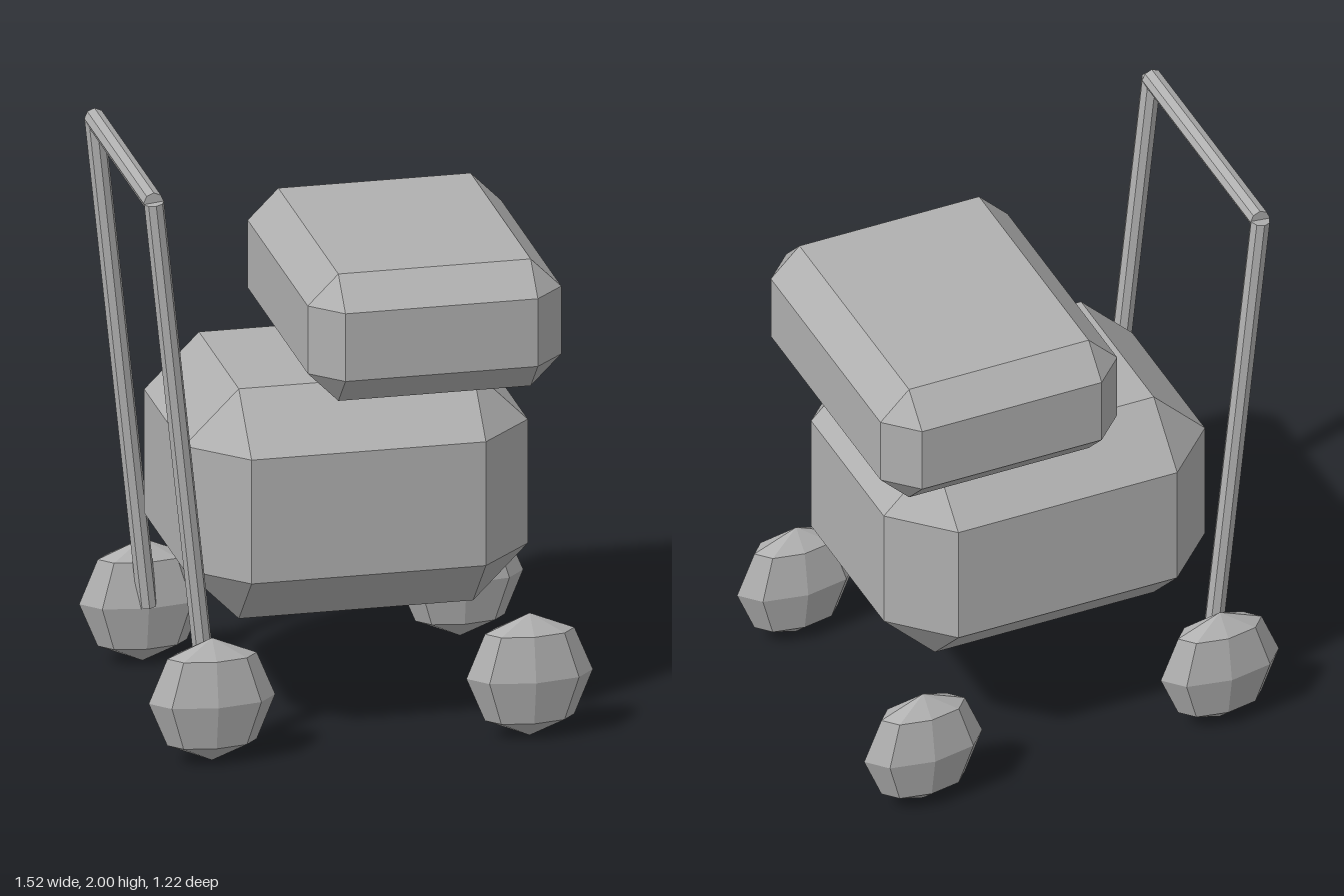
import * as THREE from 'three';
import { ConvexGeometry } from 'three/addons/geometries/ConvexGeometry.js';

// Box with flat bevels and triangular corners
function chamferedBox(w, h, d, c) {
  const points = [];
  for (const sx of [-1, 1]) for (const sy of [-1, 1]) for (const sz of [-1, 1]) {
    const x = w / 2, y = h / 2, z = d / 2;
    points.push(
      new THREE.Vector3(sx * x, sy * (y - c), sz * (z - c)),
      new THREE.Vector3(sx * (x - c), sy * y, sz * (z - c)),
      new THREE.Vector3(sx * (x - c), sy * (y - c), sz * z)
    );
  }
  return new ConvexGeometry(points);
}

export function createModel() {
  const group = new THREE.Group();
  const grey = new THREE.MeshStandardMaterial({ color: 0xb0b0b0, flatShading: true });
  grey.name = 'grey';

  function add(name, geometry, x = 0, y = 0, z = 0) {
    const mesh = new THREE.Mesh(geometry, grey);
    mesh.name = name;
    mesh.position.set(x, y, z);
    group.add(mesh);
    return mesh;
  }

  // Straight round bar between two points
  function rod(name, from, to, radius) {
    const axis = to.clone().sub(from);
    const mesh = add(name, new THREE.CylinderGeometry(radius, radius, axis.length(), 8));
    mesh.position.copy(from).add(to).multiplyScalar(0.5);
    mesh.quaternion.setFromUnitVectors(new THREE.Vector3(0, 1, 0), axis.normalize());
  }

  // Main body and the block resting on it
  add('body', chamferedBox(1.18, 0.815, 0.96, 0.188), 0, 0.822, 0);
  add('topBlock', chamferedBox(0.87, 0.45, 1.09, 0.105), 0.235, 1.438, 0);

  // Four flattened wheels
  for (const sx of [-1, 1]) for (const sz of [-1, 1]) {
    const wheel = new THREE.SphereGeometry(0.217, 8, 4).scale(1, 1, 0.45);
    add((sx > 0 ? 'left' : 'right') + (sz > 0 ? 'Front' : 'Back') + 'Wheel',
      wheel, sx * 0.545, 0.217, sz * 0.51);
  }

  // Leaning push handle
  for (const sz of [-1, 1]) {
    rod(sz > 0 ? 'frontHandleRod' : 'backHandleRod',
      new THREE.Vector3(-0.545, 0.22, sz * 0.437),
      new THREE.Vector3(-0.727, 1.965, sz * 0.437), 0.034);
  }
  rod('handleBar', new THREE.Vector3(-0.727, 1.965, -0.435),
    new THREE.Vector3(-0.727, 1.965, 0.435), 0.035);

  return group;
}
